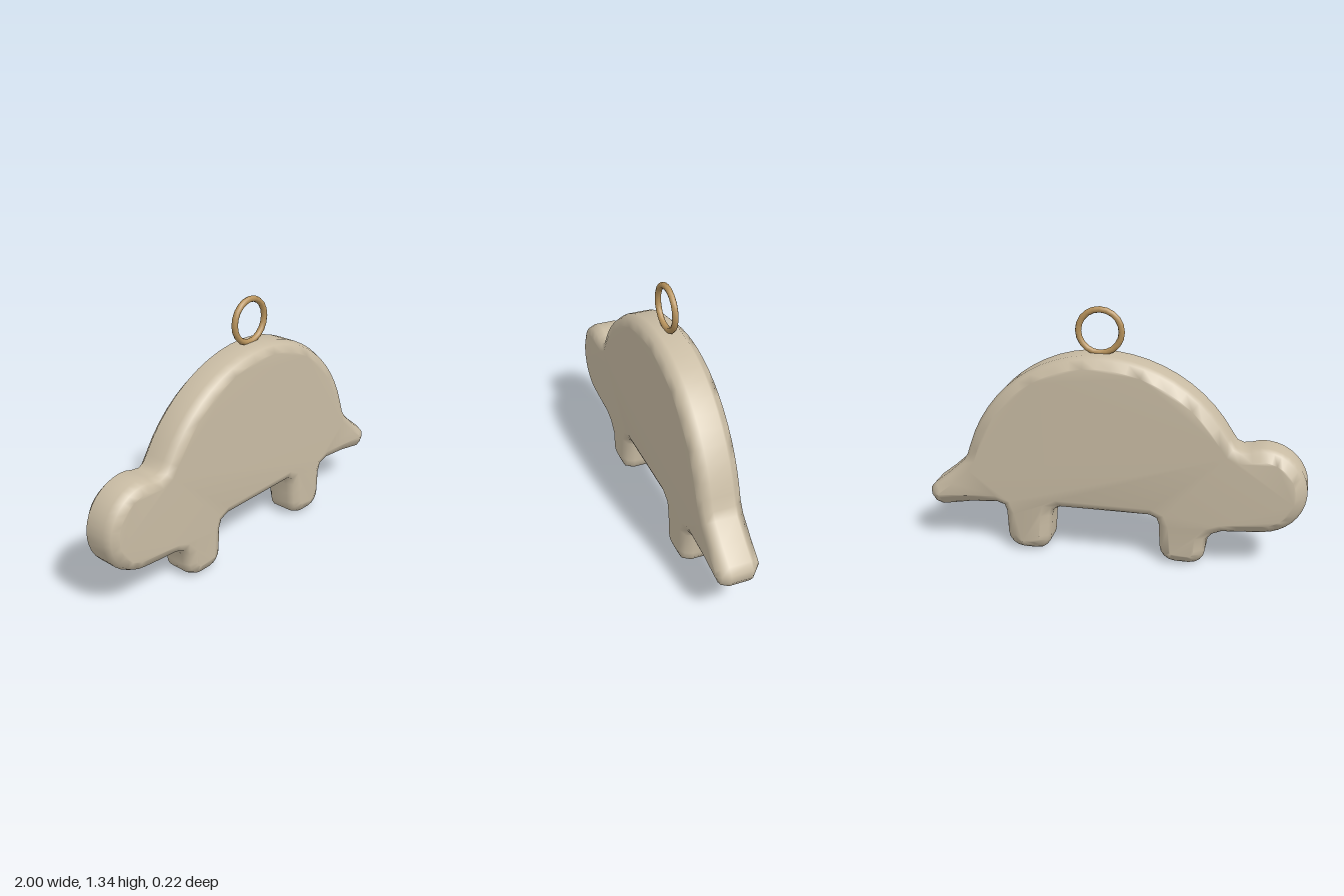
import * as THREE from 'three';
import { mergeVertices } from 'three/addons/utils/BufferGeometryUtils.js';

const BEVEL = 0.055;

// Points along an elliptical arc, angles in degrees
function arc(cx, cy, rx, ry, from, to, steps) {
  return Array.from({ length: steps + 1 }, (_, i) => {
    const a = THREE.MathUtils.degToRad(from + (to - from) * i / steps);
    return [cx + rx * Math.cos(a), cy + ry * Math.sin(a)];
  });
}

// Rounded stub leg, left to right
function leg(cx) {
  return [
    [cx - 0.123, 0.15],
    ...arc(cx - 0.035, 0.09, 0.085, 0.085, 180, 270, 4),
    ...arc(cx + 0.035, 0.09, 0.085, 0.085, 270, 360, 4),
    [cx + 0.125, 0.21],
  ];
}

function bodyGeometry() {
  const outline = [
    // belly and legs
    [-0.66, 0.21], [-0.58, 0.205], [-0.53, 0.185],
    ...leg(-0.378),
    [-0.24, 0.245], [-0.2, 0.263], [0.28, 0.263], [0.313, 0.245], [0.321, 0.21],
    ...leg(0.449),
    [0.587, 0.245], [0.63, 0.26], [0.78, 0.247],
    // tail
    [0.935, 0.219], [0.975, 0.234], [0.998, 0.27], [0.998, 0.312], [0.97, 0.345],
    [0.89, 0.408], [0.805, 0.485], [0.78, 0.525],
    // domed back
    ...arc(0.07, 0.33, 0.73, 0.78, 19, 90, 12),
    ...arc(0.07, 0.33, 0.78, 0.78, 96, 150, 9),
    // neck and head
    [-0.632, 0.68], [-0.665, 0.666], [-0.71, 0.673],
    ...arc(-0.77, 0.453, 0.23, 0.232, 85, 265, 18),
  ].map(([x, y]) => new THREE.Vector2(x, y));

  let geo = new THREE.ExtrudeGeometry(new THREE.Shape(outline), {
    depth: 0.11, steps: 1, bevelEnabled: true, bevelSegments: 2,
    bevelSize: BEVEL, bevelThickness: BEVEL, bevelOffset: -BEVEL,
  });
  geo.translate(0, 0, -0.055);

  // Flatten the rear bevel to a plain chamfer
  const pos = geo.attributes.position;
  for (let i = 0; i < pos.count; i++) {
    const z = pos.getZ(i);
    if (z < -0.08 && z > -0.105) pos.setZ(i, -0.071);
  }

  // Weld so the edges shade softly
  geo.deleteAttribute('normal');
  geo.deleteAttribute('uv');
  geo.clearGroups();
  geo = mergeVertices(geo, 1e-4);
  geo.computeVertexNormals();
  return geo;
}

export function createModel() {
  const clay = new THREE.MeshStandardMaterial({ color: 0xc9bca4 });
  clay.name = 'warm clay';
  const brass = new THREE.MeshStandardMaterial({ color: 0xb8935c });
  brass.name = 'brass';

  const model = new THREE.Group();
  model.name = 'animalPendant';

  const body = new THREE.Mesh(bodyGeometry(), clay);
  body.name = 'body';

  // Hanging ring on the top of the back
  const ring = new THREE.Mesh(new THREE.TorusGeometry(0.111, 0.016, 8, 20), brass);
  ring.name = 'hangingRing';
  ring.position.set(0.07, 1.22, 0);

  model.add(body, ring);
  return model;
}
